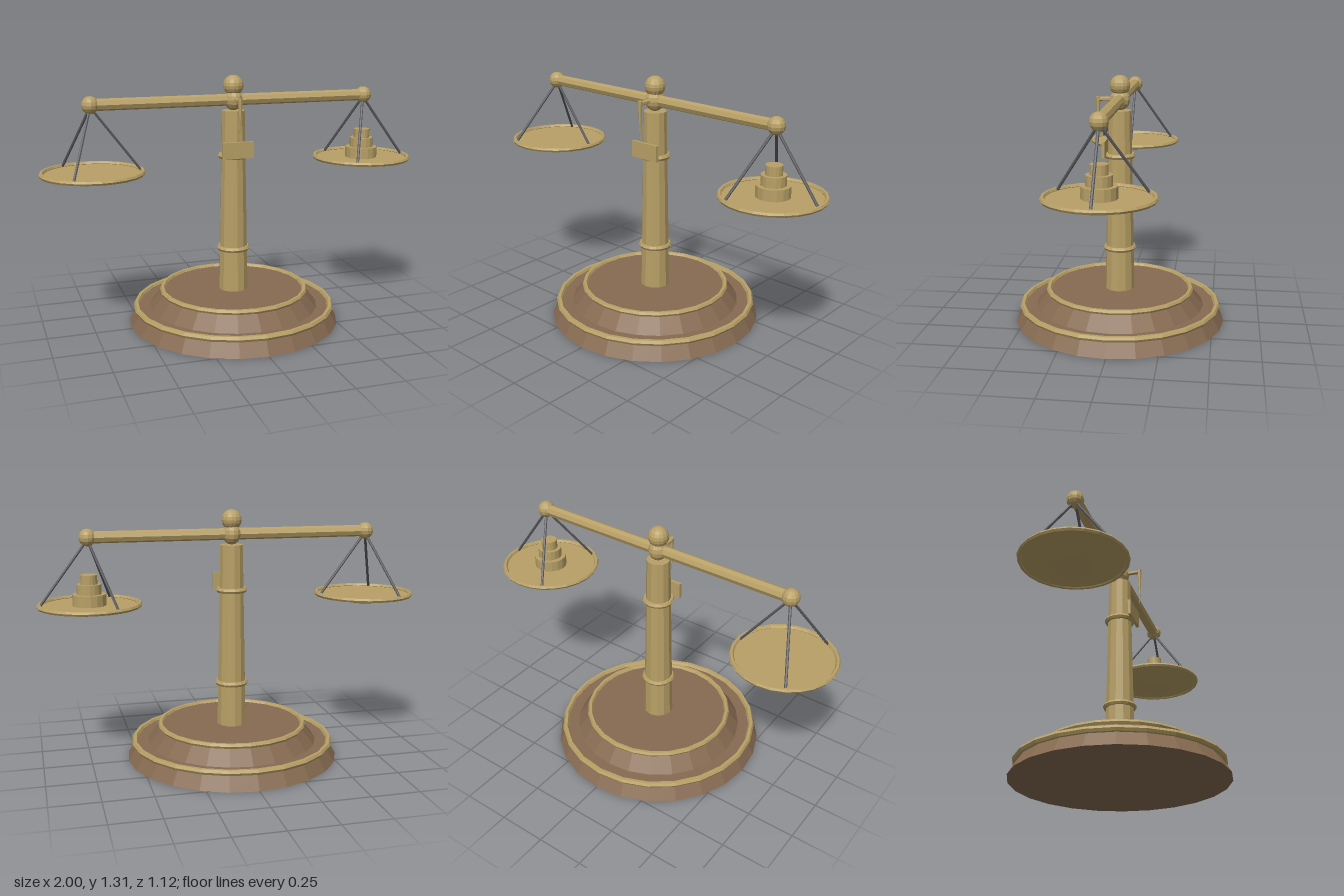
import * as THREE from 'three';

const flatMat = (name, color) => {
  const m = new THREE.MeshStandardMaterial({ color });
  m.name = name;
  return m;
};

// Bakes faceted normals so the low-poly faces stay crisp
const facet = (geo) => {
  const g = geo.index ? geo.toNonIndexed() : geo;
  g.computeVertexNormals();
  return g;
};

export function createModel() {
  const brass = flatMat('brass', 0xb8a066);
  const wood = flatMat('wood', 0x876b52);
  const steel = flatMat('steel', 0x5a5a60);
  const model = new THREE.Group();
  model.name = 'balanceScale';

  const add = (name, geo, mat, x = 0, y = 0, z = 0, parent = model) => {
    const mesh = new THREE.Mesh(facet(geo), mat);
    mesh.name = name;
    mesh.position.set(x, y, z);
    parent.add(mesh);
    return mesh;
  };
  // Frustum standing between two heights
  const drum = (name, rBottom, rTop, y0, y1, sides, mat, parent = model) =>
    add(name, new THREE.CylinderGeometry(rTop, rBottom, y1 - y0, sides), mat, 0, (y0 + y1) / 2, 0, parent);
  // Horizontal ring
  const ring = (name, radius, tube, y, sides, parent = model) =>
    add(name, new THREE.TorusGeometry(radius, tube, 6, sides).rotateX(Math.PI / 2), brass, 0, y, 0, parent);
  // Straight rod between two points
  const rod = (name, a, b, r, sides, mat, parent = model) => {
    const dir = b.clone().sub(a);
    const mesh = add(name, new THREE.CylinderGeometry(r, r, dir.length(), sides), mat, 0, 0, 0, parent);
    mesh.position.copy(a).add(b).multiplyScalar(0.5);
    mesh.quaternion.setFromUnitVectors(new THREE.Vector3(0, 1, 0), dir.normalize());
    return mesh;
  };
  const V = (x, y, z) => new THREE.Vector3(x, y, z);

  // Stepped wooden base with brass trim
  drum('lowerBase', 0.56, 0.51, 0, 0.085, 24, wood);
  ring('lowerBaseTrim', 0.523, 0.016, 0.087, 24);
  drum('upperBase', 0.45, 0.38, 0.085, 0.17, 24, wood);
  ring('upperBaseTrim', 0.382, 0.014, 0.171, 24);

  // Tapered column with collars
  drum('column', 0.078, 0.06, 0.17, 1.13, 12, brass);
  ring('lowerCollar', 0.074, 0.014, 0.398, 16);
  ring('upperCollar', 0.068, 0.014, 0.895, 16);
  add('indicatorPlate', new THREE.BoxGeometry(0.166, 0.085, 0.016), brass, 0, 0.933, 0.077);

  // Pivot, finial and beam
  const beamY = 1.185, armX = 0.735;
  add('pivot', new THREE.SphereGeometry(0.055, 12, 8).scale(0.88, 1, 0.97), brass, 0, beamY, 0);
  add('finial', new THREE.SphereGeometry(0.053, 14, 10), brass, 0, 1.258, 0);
  rod('beam', V(-armX, beamY, 0), V(armX, beamY, 0), 0.03, 8, brass);

  // Pointer hanging in front of the column
  rod('pointerArm', V(0, 1.187, 0), V(0, 1.187, 0.12), 0.012, 6, brass);
  add('pointer', new THREE.ConeGeometry(0.013, 0.22, 6).rotateX(Math.PI), brass, 0, 1.09, 0.113);

  // Hanging pans
  for (const side of [-1, 1]) {
    const pan = new THREE.Group();
    pan.name = side > 0 ? 'leftPan' : 'rightPan';
    pan.position.x = side * armX;
    model.add(pan);
    add('beamEnd', new THREE.SphereGeometry(0.044, 12, 8), brass, 0, beamY, 0, pan);
    drum('dish', 0.095, 0.252, 0.805, 0.846, 24, brass, pan);
    ring('dishRim', 0.252, 0.012, 0.848, 24, pan);
    for (let i = 0; i < 3; i++) {
      const a = (i * Math.PI * 2) / 3;
      rod('hanger', V(0, 1.175, 0), V(0.245 * Math.cos(a), 0.848, 0.245 * Math.sin(a)), 0.007, 6, steel, pan);
    }
    // Stacked weights on the left pan
    if (side > 0) {
      [[0.085, 0.846, 0.903], [0.062, 0.903, 0.953], [0.042, 0.953, 1.0]].forEach(([r, y0, y1]) =>
        drum('weight', r, r, y0, y1, 16, brass, pan));
    }
  }
  return model;
}
